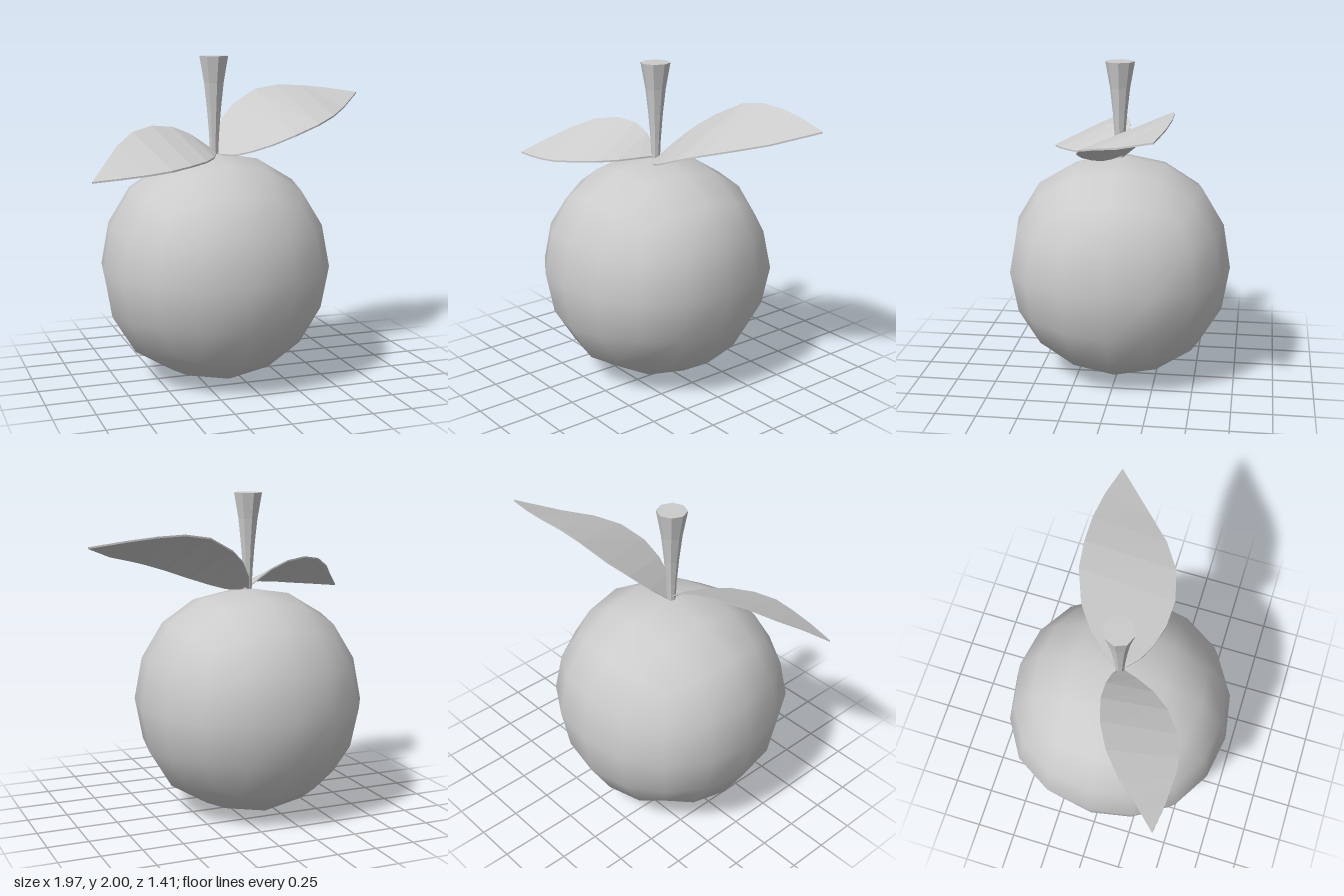
import * as THREE from 'three';
import { mergeVertices } from 'three/addons/utils/BufferGeometryUtils.js';

const CX = -0.125;

function part(name, geometry, options = {}) {
  const mesh = new THREE.Mesh(geometry, new THREE.MeshStandardMaterial({ color: 0xcccccc, ...options }));
  mesh.name = name;
  return mesh;
}

// Rounded cube-sphere: each grid node of a 4x4x4 box moves to its smoothed place,
// looked up by its grid steps from the centre, largest first
function fruitGeometry() {
  const smooth = {
    200: [0.705, 0, 0], 210: [0.658, 0.281, 0], 220: [0.516, 0.516, 0],
    211: [0.613, 0.262, 0.262], 221: [0.481, 0.481, 0.242], 222: [0.409, 0.409, 0.409],
  };
  let geo = new THREE.BoxGeometry(4, 4, 4, 4, 4, 4);
  geo.deleteAttribute('uv');
  geo.deleteAttribute('normal');
  geo = mergeVertices(geo);
  const pos = geo.attributes.position;
  for (let i = 0; i < pos.count; i++) {
    const p = [pos.getX(i), pos.getY(i), pos.getZ(i)].map(Math.round);
    const order = [0, 1, 2].sort((a, b) => Math.abs(p[b]) - Math.abs(p[a]));
    const target = smooth[order.map((k) => Math.abs(p[k])).join('')];
    const out = [0, 0, 0];
    order.forEach((k, n) => { out[k] = Math.sign(p[k]) * target[n]; });
    pos.setXYZ(i, ...out);
  }
  geo.computeVertexNormals();
  return geo;
}

// Thin curved leaf: cross-sections from base to tip, each given by the
// left and right edge points as seen when travelling to the tip
function leafGeometry(leftEdge, rightEdge, thickness = 0.01) {
  const verts = [];
  const index = [];
  leftEdge.forEach(([lx, ly, lz], i) => {
    const [rx, ry, rz] = rightEdge[i];
    verts.push(lx, ly, lz, rx, ry, rz, rx, ry - thickness, rz, lx, ly - thickness, lz);
  });
  for (let i = 0; i < leftEdge.length - 1; i++) {
    for (let j = 0; j < 4; j++) {
      const a = i * 4 + j;
      const b = i * 4 + ((j + 1) % 4);
      index.push(a, b, b + 4, a, b + 4, a + 4);
    }
  }
  index.push(0, 2, 1, 0, 3, 2);
  const geo = new THREE.BufferGeometry();
  geo.setAttribute('position', new THREE.Float32BufferAttribute(verts, 3));
  geo.setIndex(index);
  geo.computeVertexNormals();
  return geo;
}

export function createModel() {
  const group = new THREE.Group();
  group.name = 'fruitWithLeaves';

  const fruit = part('fruit', fruitGeometry());
  fruit.position.set(CX, 0.705, 0);
  group.add(fruit);

  // Eight-sided stem flaring to a flat top
  const profile = [[0, 1.38], [0.026, 1.38], [0.032, 1.52], [0.045, 1.68], [0.063, 1.84], [0.092, 2], [0, 2]];
  const stem = part('stem', new THREE.LatheGeometry(profile.map((p) => new THREE.Vector2(...p)), 8), { flatShading: true });
  stem.position.x = CX;
  group.add(stem);

  const leafStyle = { flatShading: true, side: THREE.DoubleSide };

  // Larger leaf, rising to the model's left
  const bigTip = [0.98, 1.737, -0.32];
  group.add(part('leftLeaf', leafGeometry(
    [[-0.12, 1.42, -0.03], [-0.08, 1.5, -0.12], [0, 1.6, -0.22], [0.1, 1.68, -0.3], [0.27, 1.768, -0.365],
      [0.43, 1.793, -0.383], [0.6, 1.787, -0.385], [0.78, 1.767, -0.365], bigTip],
    [[-0.1, 1.405, 0.03], [-0.02, 1.405, 0.1], [0.07, 1.43, 0.15], [0.19, 1.47, 0.19], [0.34, 1.525, 0.2],
      [0.51, 1.58, 0.155], [0.65, 1.62, 0.055], [0.79, 1.66, -0.1], bigTip],
  ), leafStyle));

  // Smaller leaf, drooping to the model's right
  const smallTip = [-0.985, 1.335, 0.455];
  group.add(part('rightLeaf', leafGeometry(
    [[-0.125, 1.42, 0.03], [-0.15, 1.418, 0.11], [-0.2, 1.412, 0.23], [-0.28, 1.405, 0.34], [-0.4, 1.395, 0.43],
      [-0.53, 1.38, 0.485], [-0.66, 1.365, 0.49], [-0.82, 1.35, 0.48], smallTip],
    [[-0.135, 1.425, -0.01], [-0.19, 1.475, -0.03], [-0.27, 1.53, -0.04], [-0.38, 1.575, -0.035], [-0.52, 1.59, 0.005],
      [-0.66, 1.565, 0.085], [-0.78, 1.5, 0.195], [-0.88, 1.42, 0.33], smallTip],
  ), leafStyle));

  return group;
}
